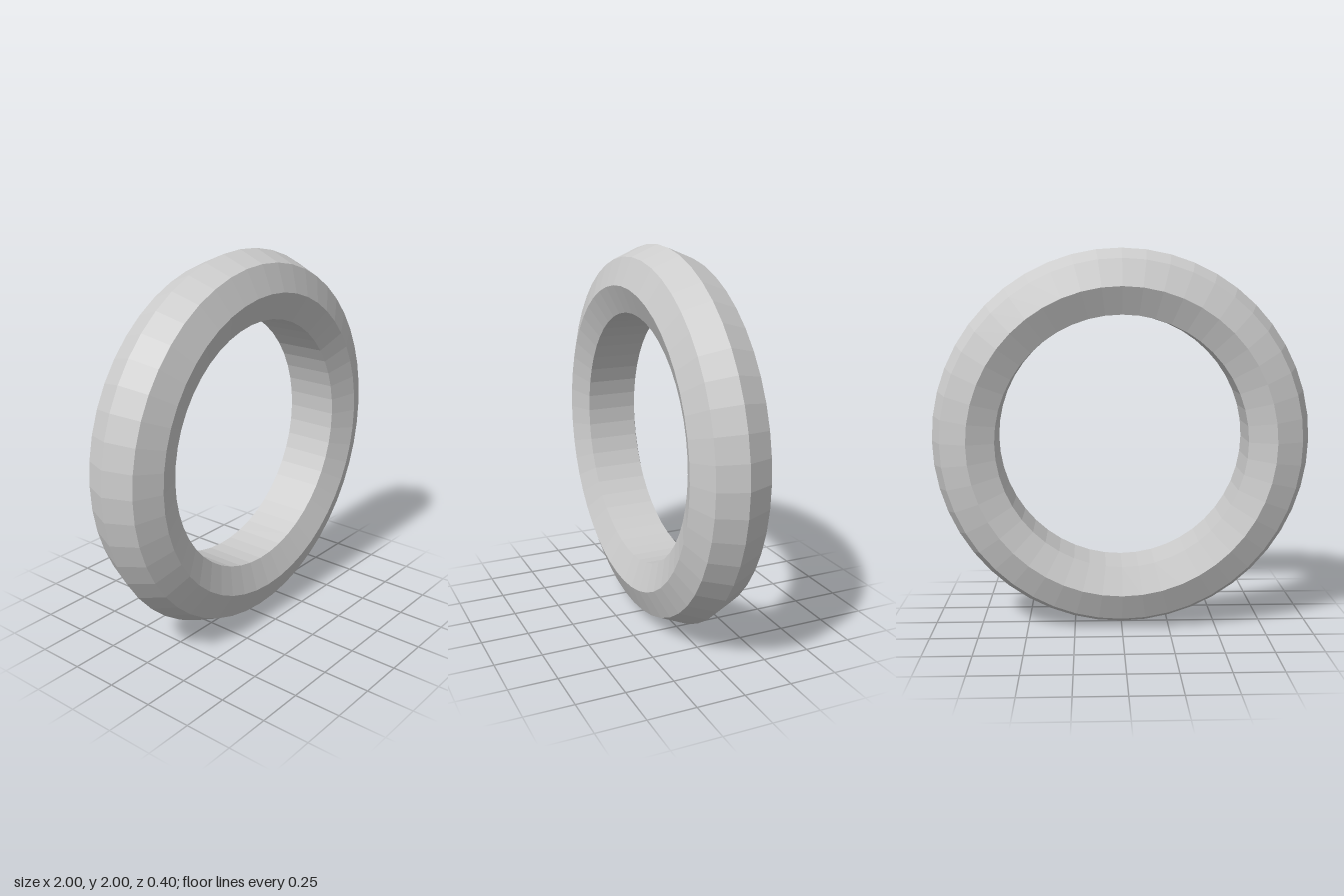
import * as THREE from 'three';

export function createModel() {
  const group = new THREE.Group();
  const ringRadius = 0.8, tube = 0.2, sides = 8, segments = 48;

  // Octagonal section without its innermost corner, which leaves a straight bore
  const profile = [];
  for (let i = -3; i <= 3; i++) {
    const a = (i / sides) * Math.PI * 2;
    profile.push(new THREE.Vector2(ringRadius + tube * Math.cos(a), tube * Math.sin(a)));
  }
  profile.push(profile[0].clone()); // close the section along the bore

  // Spin the section, then stand the ring upright
  const geometry = new THREE.LatheGeometry(profile, segments);
  geometry.rotateX(Math.PI / 2);
  geometry.translate(0, 1, 0);

  const ring = new THREE.Mesh(
    geometry,
    new THREE.MeshStandardMaterial({ color: 0xcccccc, flatShading: true })
  );
  ring.name = 'ring';
  group.add(ring);
  return group;
}
